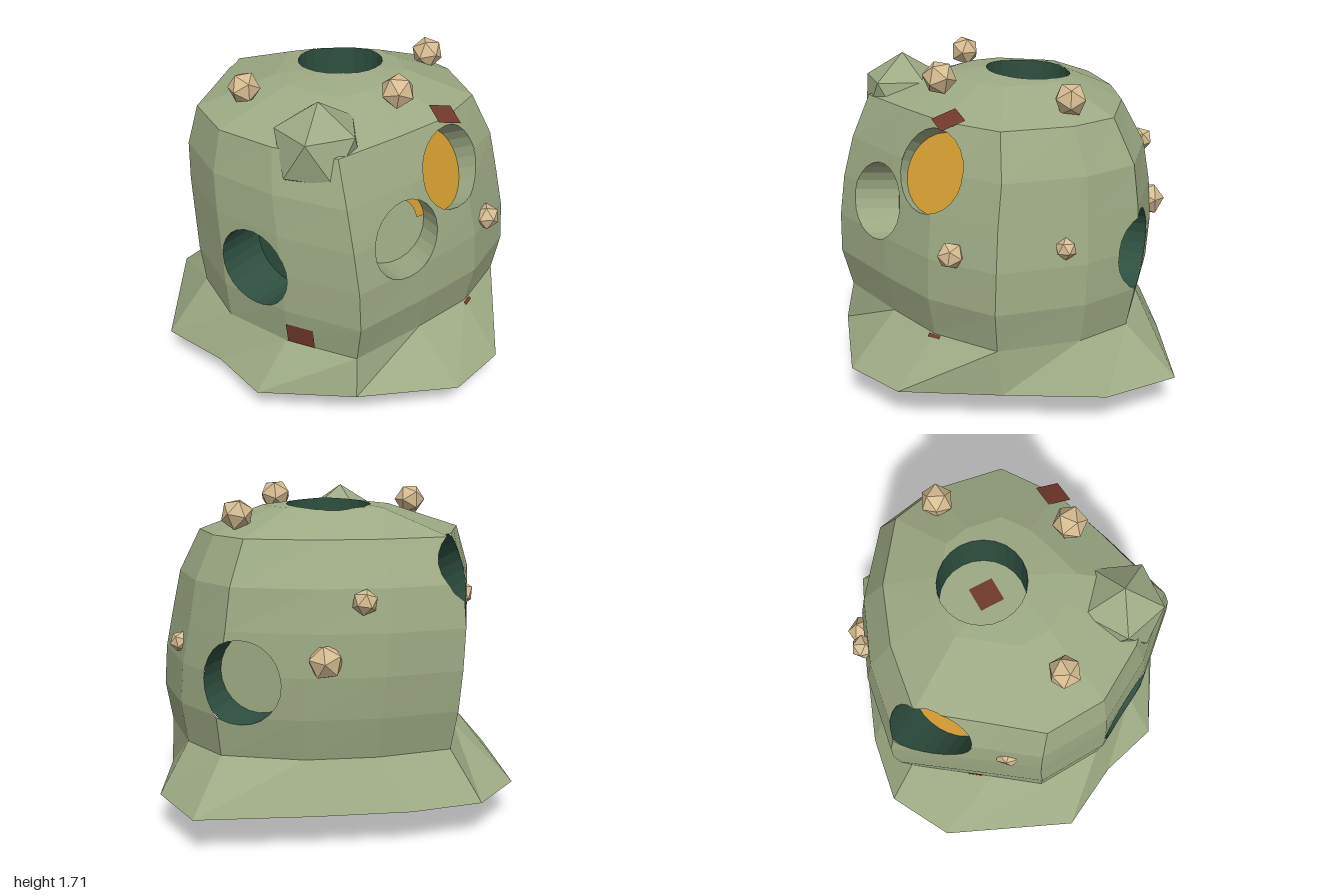
import * as THREE from 'three';

const V = (x, y, z) => new THREE.Vector3(x, y, z);
const mat = (name, color, side = THREE.FrontSide) => {
  const m = new THREE.MeshStandardMaterial({ color, side });
  m.name = name;
  return m;
};

// Outlines as [x, z], running counter-clockwise seen from above
const SKIRT = [[1, -.1], [.98, -.51], [.45, -.74], [0, -.91], [-.37, -.97], [-.7, -.79], [-1, -.13],
  [-.83, .22], [-.75, .55], [-.32, .83], [.2, .96], [.52, .82], [.77, .36]];
const WALL = [[.81, -.04], [.75, -.34], [.42, -.6], [.08, -.73], [-.31, -.79], [-.59, -.42], [-.76, -.2],
  [-.75, .17], [-.57, .5], [-.31, .79], [.1, .69], [.44, .59], [.74, .38]];
// Each wall ring: height, x scale, x shift, z scale, z shift
const RINGS = [[.42, 1, .01, 1, 0], [.63, 1.035, .015, 1.065, 0], [.84, 1.03, .008, 1.075, -.015],
  [1.05, 1.01, -.012, 1.05, -.03], [1.26, .985, -.027, .985, -.04], [1.48, .885, -.055, .84, -.025],
  [1.61, .42, -.01, .42, -.03]];

// Triangles of the closed body: cone underside, flared skirt, wall, cap
function bodyTriangles() {
  const rings = [SKIRT.map(([x, z], i) => V(x, i === 9 ? .21 : .18, z))];
  for (const [y, sx, dx, sz, dz] of RINGS) rings.push(WALL.map(([x, z]) => V(x * sx + dx, y, z * sz + dz)));
  const n = SKIRT.length, tris = [], top = rings[rings.length - 1];
  for (let i = 0; i < n; i++) {
    const j = (i + 1) % n;
    tris.push([rings[0][j], rings[0][i], V(0, 0, 0)]);
    for (let k = 0; k < rings.length - 1; k++) {
      const a = rings[k][i], b = rings[k][j], c = rings[k + 1][j], d = rings[k + 1][i];
      tris.push([a, b, c], [a, c, d]);
    }
    tris.push([top[i], top[j], V(0, 1.65, 0)]);
  }
  return tris;
}

function toGeometry(polys) {
  const pts = [];
  for (const p of polys) for (let i = 1; i < p.length - 1; i++) pts.push(p[0], p[i], p[i + 1]);
  const g = new THREE.BufferGeometry().setFromPoints(pts);
  g.computeVertexNormals();
  return g;
}

// Split a convex polygon by a plane into [outside, inside]
function split(poly, { n, d }) {
  const out = [], inside = [];
  poly.forEach((p, i) => {
    const q = poly[(i + 1) % poly.length], s = n.dot(p) - d, t = n.dot(q) - d;
    if (s >= -1e-6) out.push(p);
    if (s <= 1e-6) inside.push(p);
    if ((s > 1e-6 && t < -1e-6) || (s < -1e-6 && t > 1e-6)) {
      const m = p.clone().lerp(q, s / (s - t));
      out.push(m);
      inside.push(m);
    }
  });
  return [out, inside];
}

// Remove everything inside a convex volume
function subtract(polys, planes) {
  const result = [];
  for (const poly of polys) {
    const pieces = [];
    let rest = poly;
    for (const plane of planes) {
      const [out, inside] = split(rest, plane);
      if (out.length > 2) pieces.push(out);
      rest = inside;
      if (rest.length < 3) break;
    }
    if (rest.length < 3) result.push(poly);
    else result.push(...pieces);
  }
  return result;
}

export function createModel() {
  const group = new THREE.Group();
  const moss = mat('moss green', 0x9daa84);
  const mossInner = mat('moss green lining', 0x9daa84, THREE.DoubleSide);
  const dark = mat('deep green', 0x2f5040, THREE.DoubleSide);
  const amber = mat('amber', 0xd09a30, THREE.DoubleSide);
  const sand = mat('sand', 0xd6bd92);
  const rust = mat('rust', 0x70392c, THREE.DoubleSide);
  const add = (name, geo, material, pos) => {
    const m = new THREE.Mesh(geo, material);
    m.name = name;
    if (pos) m.position.copy(pos);
    group.add(m);
    return m;
  };

  let polys = bodyTriangles();
  const solid = new THREE.Mesh(toGeometry(polys), mossInner);
  solid.updateMatrixWorld();
  const cast = (from, dir) => new THREE.Raycaster(from, dir).intersectObject(solid)[0];

  // Round openings: name, centre, axis, radius, depth, lining, floor, amber arcs on the floor
  const sockets = [
    ['front', V(0, 1, .71), V(0, .15, 1), .2, .18, mossInner, mossInner, [[.1, 1.3], [1.7, .8]]],
    ['frontLeft', V(.36, 1.265, .59), V(.46, .42, .77), .21, .15, mossInner, amber, []],
    ['left', V(.67, .8, -.41), V(.74, 0, -.67), .21, .2, dark, mossInner, [[-.1, 1.2]]],
    ['right', V(-.665, .81, .36), V(-.91, 0, .42), .21, .25, dark, dark, []],
    ['backRight', V(-.38, 1.25, -.62), V(-.5, .52, -.75), .21, .18, dark, amber, []],
    ['top', V(.04, 1.6, -.12), V(0, 1, 0), .22, .22, dark, mossInner, []],
  ];
  const SIDES = 24;
  for (const [name, centre, dir, r, depth, lining, floorMat, arcs] of sockets) {
    const axis = dir.clone().normalize();
    const turn = new THREE.Quaternion().setFromUnitVectors(V(0, 0, 1), axis);
    const floor = centre.clone().addScaledVector(axis, -depth);
    const planes = [{ n: axis.clone().negate(), d: -axis.dot(floor) }];
    const low = [], rim = [];
    for (let i = 0; i < SIDES; i++) {
      const a = i / SIDES * Math.PI * 2, h = a + Math.PI / SIDES;
      const n = V(Math.cos(h), Math.sin(h), 0).applyQuaternion(turn);
      planes.push({ n, d: n.dot(centre) + r * Math.cos(Math.PI / SIDES) });
      const p = V(Math.cos(a) * r, Math.sin(a) * r, 0).applyQuaternion(turn).add(floor);
      low.push(p);
      const hit = cast(p.clone().addScaledVector(axis, 1.5), axis.clone().negate());
      rim.push(hit ? hit.point : p.clone().addScaledVector(axis, depth));
    }
    polys = subtract(polys, planes);
    const strip = low.map((p, i) => [p, rim[i], rim[(i + 1) % SIDES], low[(i + 1) % SIDES]]);
    add(name + 'SocketLining', toGeometry(strip), lining);
    add(name + 'SocketFloor', new THREE.CircleGeometry(r, SIDES), floorMat, floor).quaternion.copy(turn);
    for (const [start, length] of arcs) {
      const arc = new THREE.RingGeometry(r - .045, r - .002, 12, 1, start, length);
      add(name + 'SocketGlow', arc, amber, floor.clone().addScaledVector(axis, .008)).quaternion.copy(turn);
    }
  }
  add('body', toGeometry(polys), moss);

  // Faceted crystal on the shoulder, one point upward
  const crystal = add('crystal', new THREE.IcosahedronGeometry(.232, 0), moss, V(-.34, 1.455, .44));
  crystal.rotation.set(-1.017, .54, 0, 'YXZ');

  // Small faceted studs: x, y, z, radius
  const studs = [[-.54, 1.62, 0, .083], [.1, 1.64, .4, .088], [.55, 1.58, -.1, .085], [.575, .89, .545, .07],
    [.815, .93, .05, .055], [.36, .92, -.69, .09], [.18, 1.2, -.745, .065], [-.645, 1.13, -.355, .075]];
  studs.forEach(([x, y, z, r], i) => {
    add('stud', new THREE.IcosahedronGeometry(r, 0), sand, V(x, y, z)).rotation.set(i, i * .7, 0);
  });

  // Square patches laid on the surface: start of ray, direction, width, height
  const patches = [
    [V(.34, 3, .45), V(0, -1, 0), .13, .13],
    [V(.34, -1, .45), V(0, 1, 0), .13, .13],
    [V(.06, -1, -.09), V(0, 1, 0), .13, .13],
    [V(-.62, -1, -.41), V(0, 1, 0), .12, .12],
    [V(-.51, .485, 3), V(0, 0, -1), .15, .12],
    [V(-.53, .48, -3), V(0, 0, 1), .08, .1],
    [V(.46, .41, 3), V(0, 0, -1), .07, .02],
  ];
  for (const [from, dir, w, h] of patches) {
    const hit = cast(from, dir);
    if (!hit) continue;
    const n = hit.face.normal;
    const patch = add('patch', new THREE.PlaneGeometry(w, h), rust, hit.point.clone().addScaledVector(n, .005));
    patch.up.set(0, Math.abs(dir.y) ? 0 : 1, Math.abs(dir.y) ? -1 : 0);
    patch.lookAt(patch.position.clone().add(n));
  }
  // Patch on the floor of the top socket
  add('patch', new THREE.PlaneGeometry(.13, .13), rust, V(.06, 1.385, -.09)).rotation.x = -Math.PI / 2;

  return group;
}
